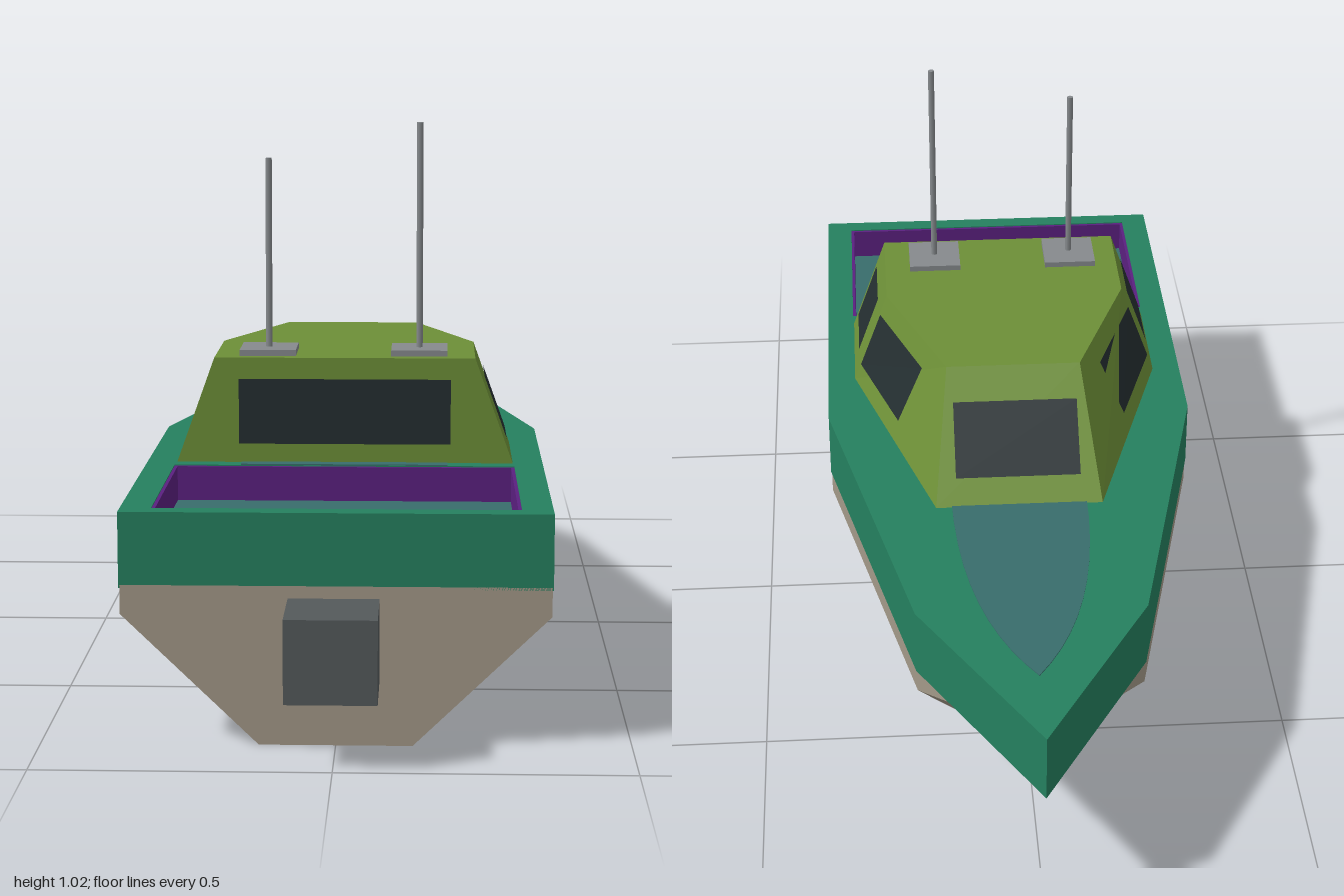
import * as THREE from 'three';

const mat = (name, color) => Object.assign(new THREE.MeshStandardMaterial({ color }), { name });
const M = {
  green: mat('gunwale green', 0x25805f),
  taupe: mat('hull taupe', 0xa39988),
  olive: mat('cabin olive', 0x6d8f37),
  teal: mat('deck teal', 0x386d6c),
  purple: mat('cockpit purple', 0x5b2080),
  glass: mat('window glass', 0x242e30),
  dark: mat('motor grey', 0x54595b),
  grey: mat('antenna grey', 0x868a8d),
};

// Flat-shaded geometry from convex polygons (corner lists, counter-clockwise from outside)
function polyGeometry(polys) {
  const pos = [];
  for (const p of polys)
    for (let i = 1; i < p.length - 1; i++) pos.push(...p[0], ...p[i], ...p[i + 1]);
  const g = new THREE.BufferGeometry();
  g.setAttribute('position', new THREE.Float32BufferAttribute(pos, 3));
  g.computeVertexNormals();
  return g;
}

// Horizontal slab from an outline of [x, z] points
function slab(shape, y, h) {
  return new THREE.ExtrudeGeometry(shape, { depth: h, bevelEnabled: false, curveSegments: 10 })
    .rotateX(-Math.PI / 2).translate(0, y, 0);
}
const outline = (pts, C = THREE.Shape) => new C(pts.map(([x, z]) => new THREE.Vector2(x, -z)));

export function createModel() {
  const boat = new THREE.Group();
  boat.name = 'patrolBoat';
  const add = (name, geo, material, parent = boat) => {
    const m = new THREE.Mesh(geo, material);
    m.name = name;
    parent.add(m);
    return m;
  };
  const box = (name, material, [x0, x1], [y0, y1], [z0, z1]) =>
    add(name, new THREE.BoxGeometry(x1 - x0, y1 - y0, z1 - z0)
      .translate((x0 + x1) / 2, (y0 + y1) / 2, (z0 + z1) / 2), material);

  // Hull: stations of [z, sheer x, sheer y, chine x, chine y, keel x, keel y]
  const stations = [
    [0.85, 0.363, 0.275, 0.363, 0.225, 0.13, 0],
    [0.02, 0.363, 0.275, 0.363, 0.225, 0.13, 0],
    [-0.64, 0.209, 0.275, 0.209, 0.225, 0.075, 0.13],
    [-0.995, 0, 0.395, 0, 0.395, 0, 0.395],
  ].map(([z, sx, sy, cx, cy, kx, ky]) => [
    [sx, sy, z], [cx, cy, z], [kx, ky, z], [-kx, ky, z], [-cx, cy, z], [-sx, sy, z],
  ]);
  const hull = [[...stations[0]].reverse()];
  for (let s = 0; s < 3; s++)
    for (let i = 0; i < 5; i++)
      hull.push([stations[s][i], stations[s][i + 1], stations[s + 1][i + 1], stations[s + 1][i]]);
  add('hull', polyGeometry(hull), M.taupe);

  // Gunwale and deck in one slab, with the cockpit cut out
  const rim = outline([[0.365, 0.85], [0.365, 0.02], [0.211, -0.64], [0, -1],
    [-0.211, -0.64], [-0.365, 0.02], [-0.365, 0.85]]);
  rim.holes.push(outline([[0.312, 0.425], [-0.312, 0.425], [-0.312, 0.815], [0.312, 0.815]], THREE.Path));
  add('gunwale', slab(rim, 0.27, 0.13), M.green);

  // Cockpit floor and wall lining
  box('cockpitFloor', M.teal, [-0.312, 0.312], [0.272, 0.335], [0.425, 0.815]);
  for (const s of [1, -1]) {
    const side = [s * 0.306, s * 0.312].sort((a, b) => a - b);
    box('sideLining', M.purple, side, [0.335, 0.398], [0.425, 0.815]);
  }
  box('frontLining', M.purple, [-0.306, 0.306], [0.335, 0.398], [0.425, 0.431]);
  box('rearLining', M.purple, [-0.306, 0.306], [0.335, 0.398], [0.809, 0.815]);
  box('cabinStep', M.teal, [-0.19, 0.19], [0.398, 0.402], [0.4, 0.424]);

  // Pointed foredeck panel
  const panel = new THREE.Shape();
  panel.moveTo(0.13, 0.28);
  panel.bezierCurveTo(0.13, 0.55, 0.08, 0.72, 0, 0.83);
  panel.bezierCurveTo(-0.08, 0.72, -0.13, 0.55, -0.13, 0.28);
  add('foredeckPanel', slab(panel, 0.398, 0.004), M.teal);

  // Cabin: base and roof outlines joined by sloping walls
  const cabin = new THREE.Group();
  cabin.name = 'cabin';
  boat.add(cabin);
  const mirror = (pts, y) => [...pts, ...pts.map(([x, z]) => [-x, z]).reverse()].map(([x, z]) => [x, y, z]);
  const base = mirror([[0.31, 0.395], [0.31, 0.17], [0.16, -0.31]], 0.4);
  const roof = mirror([[0.24, 0.395], [0.24, 0.17], [0.13, -0.113]], 0.595);
  const walls = base.map((b, i) => [b, base[(i + 1) % 6], roof[(i + 1) % 6], roof[i]]);
  add('cabinShell', polyGeometry([...walls, roof]), M.olive, cabin);

  // Windows: thin panes at [u, v] corners of a wall, lifted just off it
  const V = (a) => new THREE.Vector3(...a);
  function pane(name, wall, corners) {
    const [a, b, c, d] = wall.map(V);
    const n = b.clone().sub(a).cross(d.clone().sub(a)).normalize().multiplyScalar(0.004);
    const pts = corners.map(([u, v]) =>
      a.clone().lerp(b, u).lerp(d.clone().lerp(c, u), v).add(n).toArray());
    add(name, polyGeometry([pts]), M.glass, cabin);
  }
  const flip = (cs) => cs.map(([u, v]) => [1 - u, v]).reverse();
  const sideRear = [[0.14, 0.2], [0.77, 0.2], [0.77, 0.8], [0.14, 0.8]];
  const sideFront = [[0.02, 0.2], [0.52, 0.2], [0.69, 0.8], [0.03, 0.8]];
  pane('leftRearWindow', walls[0], sideRear);
  pane('leftFrontWindow', walls[1], sideFront);
  pane('windshield', walls[2], [[0.11, 0.2], [0.89, 0.2], [0.935, 0.74], [0.065, 0.74]]);
  pane('rightFrontWindow', walls[3], flip(sideFront));
  pane('rightRearWindow', walls[4], flip(sideRear));
  pane('rearWindow', walls[5], [[0.172, 0.18], [0.828, 0.18], [0.884, 0.8], [0.116, 0.8]]);

  // Antennas on square base plates
  for (const [x, top] of [[-0.143, 0.957], [0.137, 1.023]]) {
    box('antennaBase', M.grey, [x - 0.052, x + 0.052], [0.594, 0.606], [0.268, 0.372]);
    add('antennaPole', new THREE.CylinderGeometry(0.006, 0.006, top - 0.6, 8)
      .translate(x, (top + 0.6) / 2, 0.322), M.grey);
  }

  // Outboard motor block and its mount
  box('motor', M.dark, [-0.08, 0.074], [0.113, 0.255], [0.855, 1]);
  box('motorMount', M.dark, [-0.05, 0.044], [0.14, 0.23], [0.845, 0.86]);

  return boat;
}
